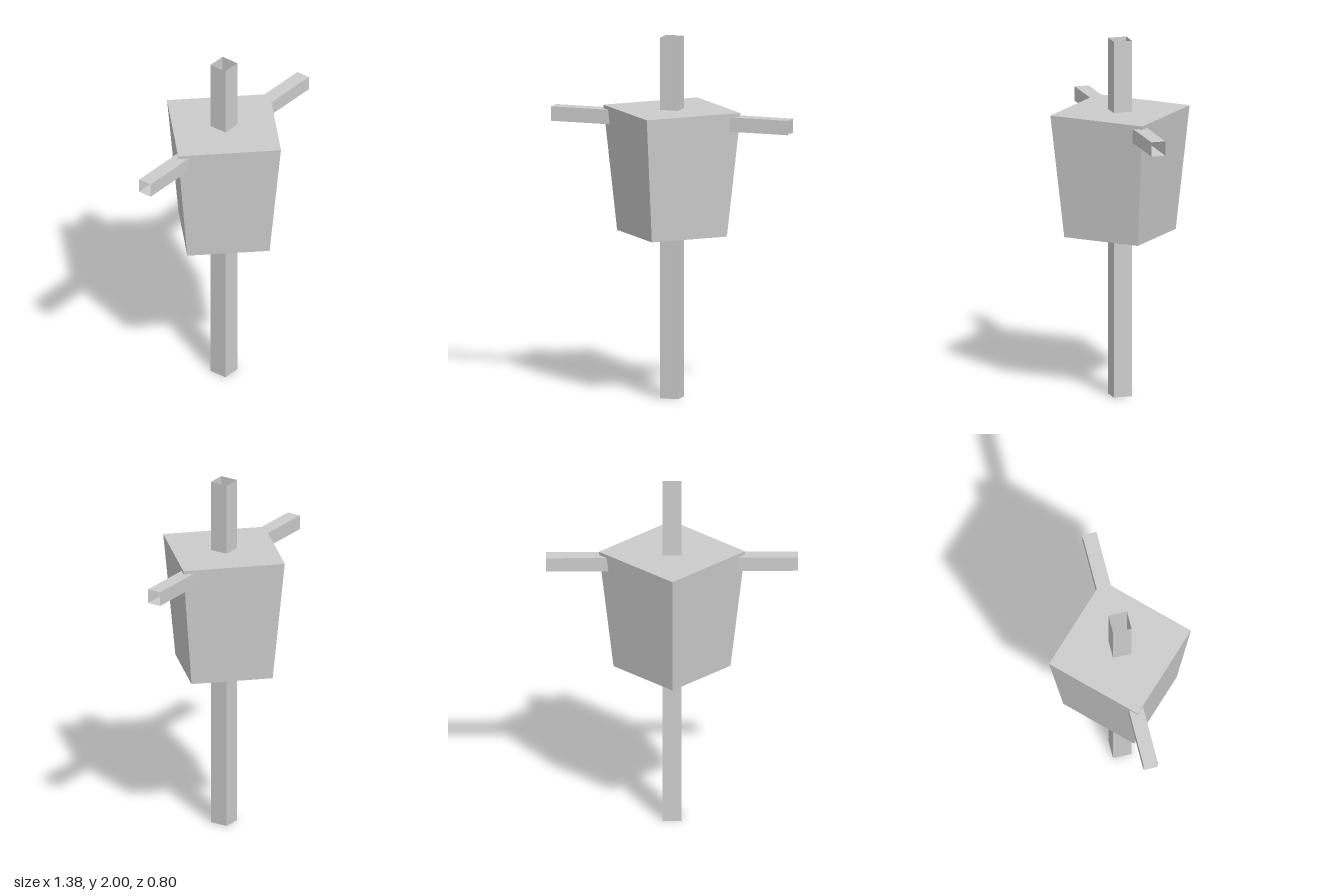
import * as THREE from 'three';

export function createModel() {
  const model = new THREE.Group();
  const grey = new THREE.MeshStandardMaterial({ color: 0xcccccc, side: THREE.DoubleSide, flatShading: true });
  grey.name = 'light grey';

  const add = (name, geometry) => {
    const mesh = new THREE.Mesh(geometry, grey);
    mesh.name = name;
    model.add(mesh);
    return mesh;
  };

  // Hollow square tube, open at both ends, with its sides facing the axes
  const squareTube = (width, length) =>
    new THREE.CylinderGeometry(width / Math.SQRT2, width / Math.SQRT2, length, 4, 1, true, Math.PI / 4);

  // Upright pole and the crossbar forming both arms
  add('pole', squareTube(0.104, 2)).position.y = 1;
  const arms = add('arms', squareTube(0.08, 1.38));
  arms.rotation.z = Math.PI / 2;
  arms.position.y = 1.54;

  // Tapered body turned corner-forward, open underneath
  add('body', new THREE.CylinderGeometry(0.4, 0.32, 0.69, 4, 1, true)).position.y = 1.255;
  const lid = add('bodyTop', new THREE.CircleGeometry(0.4, 4));
  lid.rotation.x = -Math.PI / 2;
  lid.position.y = 1.6;

  return model;
}
